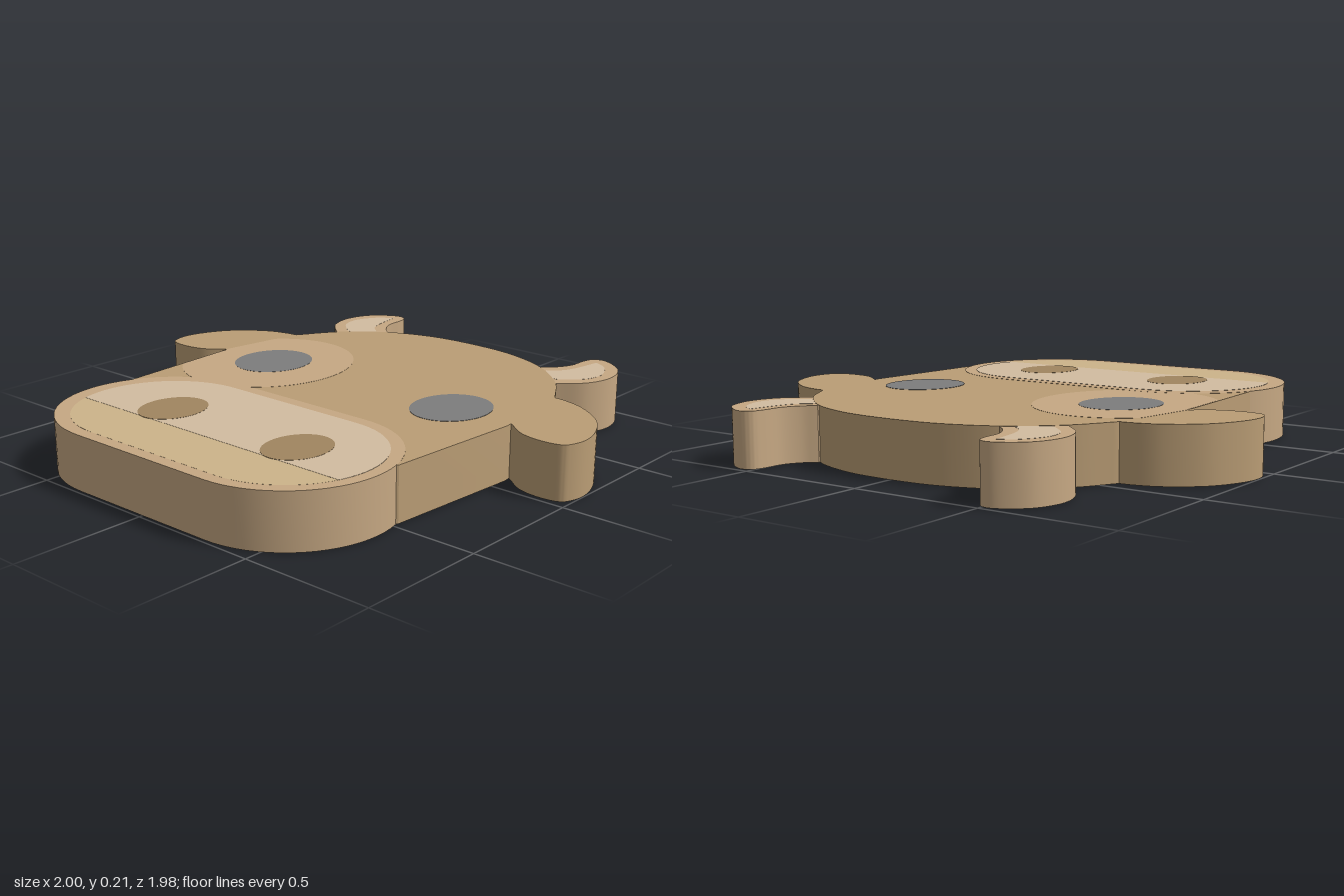
import * as THREE from 'three';
import { toCreasedNormals } from 'three/addons/utils/BufferGeometryUtils.js';

const HEIGHT = 0.21;
const STEP = 0.0006; // tiny height difference that keeps inlays clear of each other
const TOP_LEVEL = 6;

const COLORS = {
  hide: 0xba9d75, rim: 0xc6a883, pale: 0xd2bca0,
  chin: 0xcdb48a, nostril: 0xa08560, eye: 0x7d7d7d,
};

// Outlines are lists of [x, z] seen from above.
const mirror = (pts) => pts.map(([x, z]) => [-x, z]).reverse();

// Smooth curve through a few points
function smooth(pts, n = 40, closed = false) {
  const curve = new THREE.CatmullRomCurve3(pts.map(([x, z]) => new THREE.Vector3(x, 0, z)), closed);
  return curve.getPoints(n).map((p) => [p.x, p.z]);
}

function ellipse(cx, cz, rx, rz, n = 64) {
  return Array.from({ length: n }, (_, i) => {
    const a = (i / n) * Math.PI * 2;
    return [cx + rx * Math.cos(a), cz + rz * Math.sin(a)];
  });
}

// Stadium with straight sides along x
function stadium(x0, x1, cz, r, n = 32) {
  const arc = (cx, start) => Array.from({ length: n + 1 }, (_, i) => {
    const a = start + (i / n) * Math.PI;
    return [cx + r * Math.cos(a), cz + r * Math.sin(a)];
  });
  return [...arc(x1, -Math.PI / 2), ...arc(x0, Math.PI / 2)];
}

// Upright slab from an outline; higher levels lie over lower ones on both faces
function slab(name, outline, color, level) {
  const inset = (TOP_LEVEL - level) * STEP;
  const shape = new THREE.Shape(outline.map(([x, z]) => new THREE.Vector2(x, -z)));
  const geo = new THREE.ExtrudeGeometry(shape, { depth: HEIGHT - 2 * inset, bevelEnabled: false });
  geo.rotateX(-Math.PI / 2).translate(0, inset, 0);
  const mesh = new THREE.Mesh(toCreasedNormals(geo, 0.5), new THREE.MeshStandardMaterial({ color }));
  mesh.name = name;
  return mesh;
}

export function createModel() {
  const group = new THREE.Group();
  group.name = 'cowHead';
  const add = (...args) => group.add(slab(...args));

  // Head: domed crown, sides tapering towards the muzzle
  const crown = smooth([
    [-0.66, -0.45], [-0.56, -0.605], [-0.395, -0.745], [-0.25, -0.805], [-0.12, -0.83],
    [0.12, -0.83], [0.25, -0.805], [0.395, -0.745], [0.56, -0.605], [0.66, -0.45],
  ], 72);
  add('head', [...crown, [0.715, -0.07], [0.68, 0.48], [0.6, 0.6], [-0.6, 0.6], [-0.68, 0.48], [-0.715, -0.07]],
    COLORS.hide, 2);

  // Ears and horns, one outline each, mirrored
  const ear = [...smooth([
    [0.655, -0.45], [0.71, -0.444], [0.80, -0.414], [0.92, -0.32], [0.985, -0.2], [1, -0.12],
    [0.99, -0.065], [0.97, -0.033], [0.90, -0.018], [0.80, -0.035], [0.715, -0.095],
  ], 60), [0.6, -0.15], [0.6, -0.4]];
  const horn = [...smooth([
    [0.398, -0.75], [0.44, -0.79], [0.473, -0.853], [0.478, -0.93], [0.49, -0.975], [0.527, -0.994],
    [0.586, -0.972], [0.652, -0.91], [0.682, -0.80], [0.65, -0.69], [0.564, -0.605],
  ], 60), [0.5, -0.6], [0.4, -0.7]];
  const hornCore = [
    ...smooth([[0.44, -0.725], [0.485, -0.765], [0.508, -0.82], [0.52, -0.88], [0.53, -0.947]], 24),
    ...smooth([[0.53, -0.947], [0.586, -0.912], [0.635, -0.815], [0.62, -0.73], [0.54, -0.65]], 30).slice(1),
    [0.46, -0.65],
  ];
  for (const [side, place] of [['left', (p) => p], ['right', mirror]]) {
    add(side + 'Ear', place(ear), COLORS.hide, 2);
    add(side + 'Horn', place(horn), COLORS.rim, 0);
    add(side + 'HornCore', place(hornCore), COLORS.pale, 1);
  }

  // Patch around the right eye, trimmed at the side of the head
  const headEdge = (z) => (z < -0.1 ? -0.718 + (-0.1 - z) * 0.16 : -0.714 + (z + 0.1) * 0.062);
  const patch = ellipse(-0.46, -0.08, 0.325, 0.36, 96).map(([x, z]) => [Math.max(x, headEdge(z)), z]);
  add('eyePatch', patch, COLORS.rim, 3);

  // Eyes
  add('leftEye', ellipse(0.447, -0.1, 0.145, 0.165), COLORS.eye, 4);
  add('rightEye', ellipse(-0.452, -0.1, 0.145, 0.165), COLORS.eye, 4);

  // Muzzle: rim, golden chin and pale upper part ending in a straight line
  add('muzzle', stadium(-0.324, 0.304, 0.6, 0.388), COLORS.rim, 3.5);
  const inner = stadium(-0.31, 0.305, 0.6, 0.339);
  add('chin', inner, COLORS.chin, 4);
  const lipZ = 0.71;
  const lipX = Math.sqrt(0.339 ** 2 - (lipZ - 0.6) ** 2);
  const upper = inner.filter(([, z]) => z < lipZ - 0.001);
  const split = upper.findIndex(([x]) => x < 0);
  upper.splice(split, 0, [0.305 + lipX, lipZ], [-0.31 - lipX, lipZ]);
  add('muzzleFace', upper, COLORS.pale, 5);

  // Nostrils
  add('leftNostril', ellipse(0.323, 0.577, 0.113, 0.138), COLORS.nostril, 6);
  add('rightNostril', ellipse(-0.296, 0.577, 0.113, 0.138), COLORS.nostril, 6);

  return group;
}
